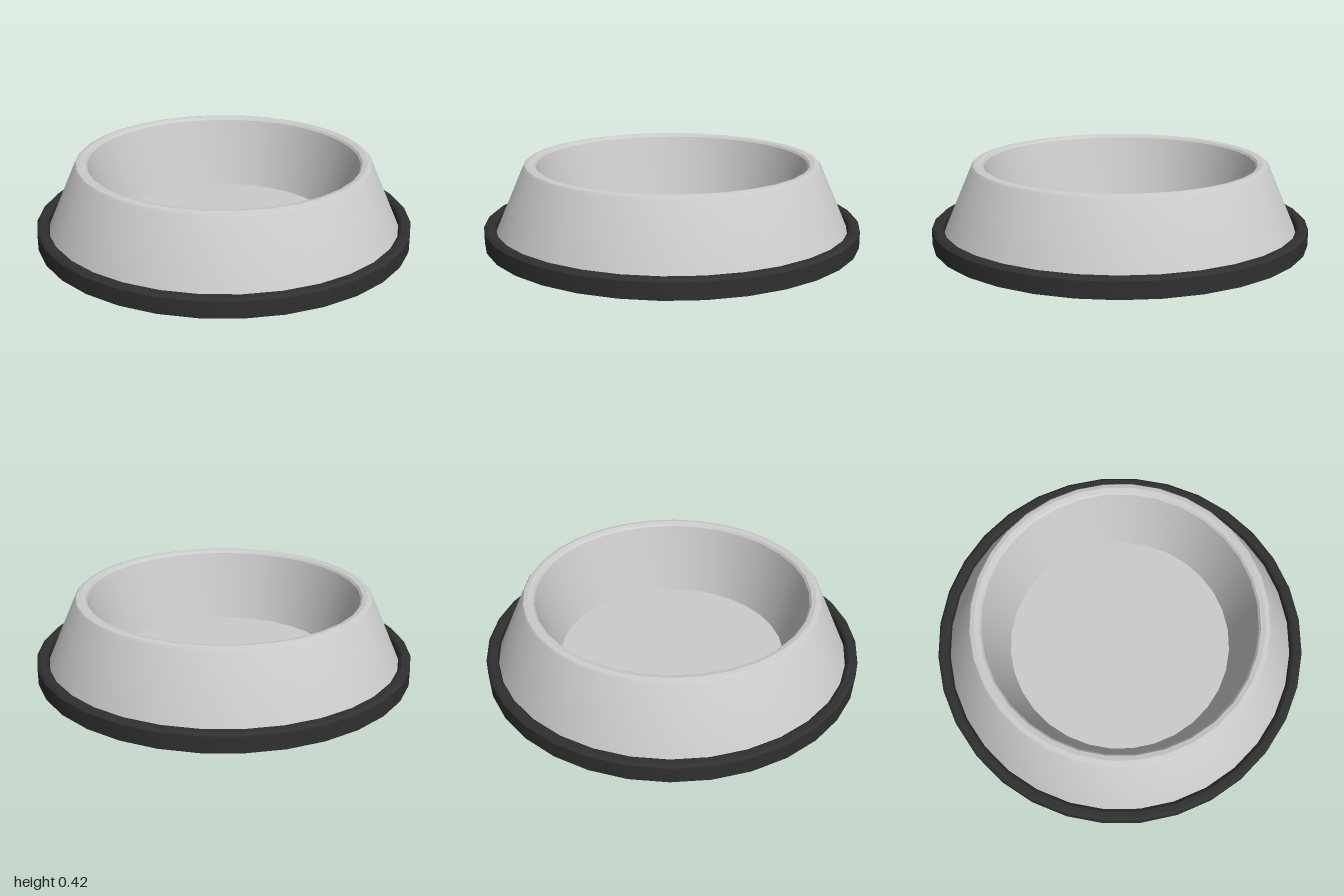
import * as THREE from 'three';
import { toCreasedNormals } from 'three/addons/utils/BufferGeometryUtils.js';

const SEGMENTS = 32;

// Revolve a profile of [radius, height] points, keeping its sharp edges crisp
function revolve(name, profile, color) {
  const points = profile.map(([r, y]) => new THREE.Vector2(r, y));
  const geometry = toCreasedNormals(new THREE.LatheGeometry(points, SEGMENTS), 0.4);
  const mesh = new THREE.Mesh(geometry, new THREE.MeshStandardMaterial({ color }));
  mesh.name = name;
  return mesh;
}

export function createModel() {
  const model = new THREE.Group();
  model.name = 'bowl';

  // Dark foot: closed disc with a raised, bevelled lip around the bowl
  model.add(revolve('rubberBase', [
    [0, 0], [1, 0], [1, 0.085], [0.985, 0.098], [0.955, 0.098],
    [0.942, 0.088], [0.938, 0.062], [0.9, 0.062],
  ], 0x303030));

  // Flared outer wall, slightly rounded rim and tapering inner wall
  model.add(revolve('bowlWall', [
    [0.938, 0.058], [0.788, 0.4], [0.778, 0.413], [0.755, 0.418],
    [0.73, 0.413], [0.72, 0.402], [0.608, 0.03],
  ], 0xcccccc));

  // Flat inside floor
  const floor = new THREE.Mesh(
    new THREE.CircleGeometry(0.608, SEGMENTS),
    new THREE.MeshStandardMaterial({ color: 0xcccccc }),
  );
  floor.name = 'bowlFloor';
  floor.rotation.x = -Math.PI / 2;
  floor.position.y = 0.03;
  model.add(floor);

  return model;
}
